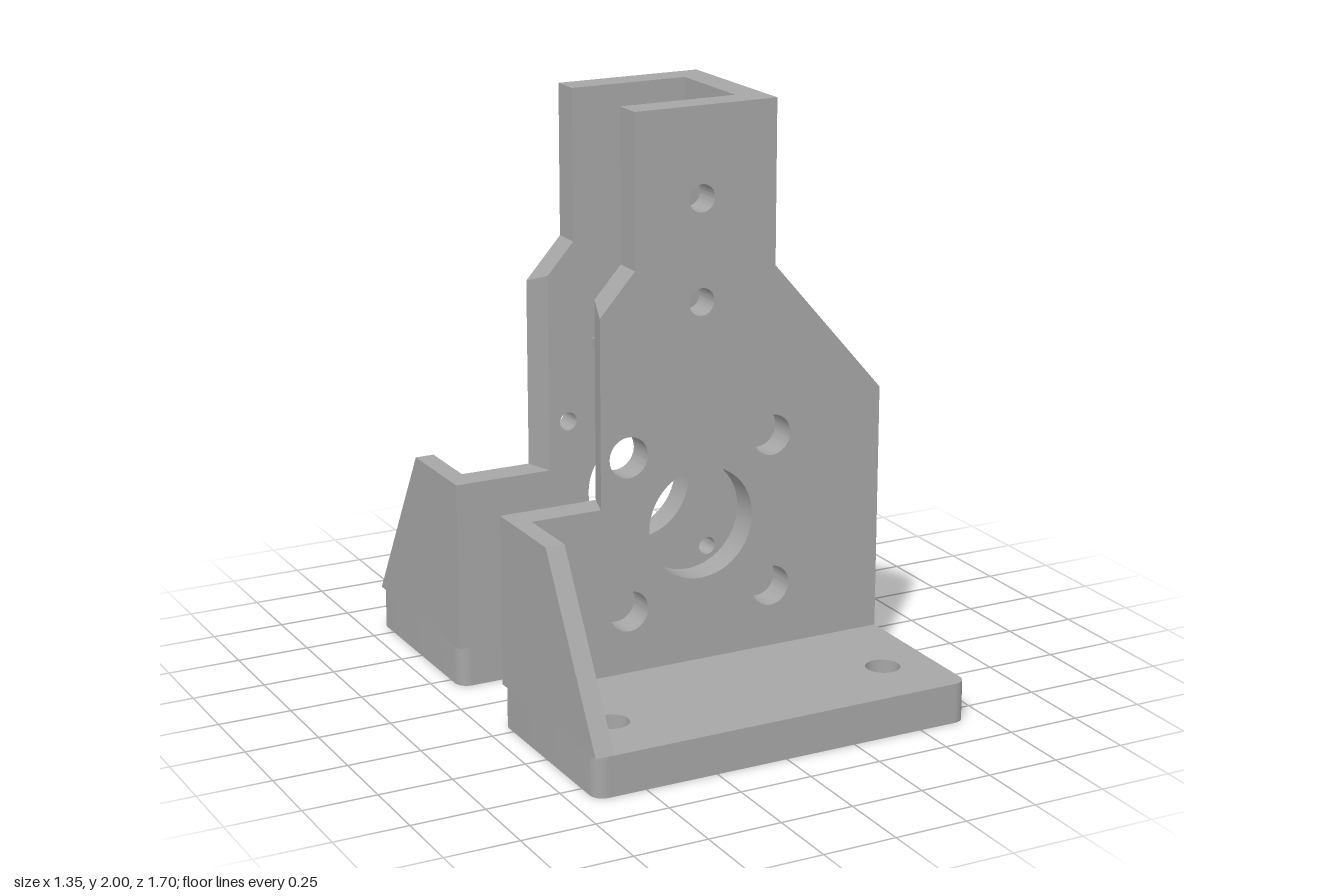
import * as THREE from 'three';
import { toCreasedNormals } from 'three/addons/utils/BufferGeometryUtils.js';

const IN = 0.172, OUT = 0.272; // inner and outer faces of the two upright plates
const BASE = 0.137, HALF = 0.675, END = 0.85;

const polygon = pts => new THREE.Shape(pts.map(([x, y]) => new THREE.Vector2(x, y)));

function addHole(shape, x, y, r) {
  const hole = new THREE.Path();
  hole.absarc(x, y, r, 0, Math.PI * 2, true);
  shape.holes.push(hole);
}

const extrude = (shape, depth) =>
  new THREE.ExtrudeGeometry(shape, { depth, bevelEnabled: false, curveSegments: 24 });

// Upright plate with shaft opening, four screw holes and two neck holes
function plateGeometry(side, screwRadius) {
  const shape = polygon([
    [-HALF, BASE], [HALF, BASE], [HALF, 0.985], [0.27, 1.45], [0.27, 2],
    [-0.24, 2], [-0.24, 1.49], [-0.365, 1.35], [-0.365, 0.715], [-HALF, 0.715],
  ]);
  addHole(shape, 0, 0.613, 0.191);
  for (const y of [1.36, 1.7]) addHole(shape, 0, y, 0.046);
  for (const x of [-0.264, 0.264])
    for (const y of [0.35, 0.876]) addHole(shape, x, y, screwRadius);
  const geo = extrude(shape, OUT - IN);
  geo.translate(0, 0, side > 0 ? IN : -OUT);
  // The inner edge above the low shoulder is relieved
  const p = geo.attributes.position;
  for (let i = 0; i < p.count; i++) {
    if (Math.abs(p.getX(i) + 0.365) < 1e-3 && Math.abs(p.getZ(i)) < 0.2) {
      p.setX(i, -0.334);
      if (p.getY(i) > 1.3) p.setY(i, p.getY(i) + 0.035);
    }
  }
  return geo;
}

// Foot slab with rounded vertical corners and two bolt holes
function footGeometry(side) {
  const r = 0.045, a = IN, b = END, q = Math.PI / 2;
  const shape = new THREE.Shape();
  shape.absarc(HALF - r, a + r, r, -q, 0);
  shape.absarc(HALF - r, b - r, r, 0, q);
  shape.absarc(-HALF + r, b - r, r, q, 2 * q);
  shape.absarc(-HALF + r, a + r, r, 2 * q, 3 * q);
  for (const x of [-0.5, 0.5]) addHole(shape, x, 0.61, 0.058);
  const geo = extrude(shape, BASE).rotateX(Math.PI / 2).translate(0, BASE, 0);
  if (side < 0) geo.rotateY(Math.PI); // symmetric about x
  return geo;
}

// Triangular side web between plate and foot
function gussetGeometry(side, xMax, topZ, topY) {
  const shape = polygon([[OUT, BASE], [END, BASE], [topZ, topY], [OUT, topY]]
    .map(([z, y]) => [z * side, y]));
  return extrude(shape, 0.065).rotateY(-Math.PI / 2).translate(xMax, 0, 0);
}

export function createModel() {
  const grey = new THREE.MeshStandardMaterial({ color: 0xa6a6a6 });
  grey.name = 'grey';
  const model = new THREE.Group();
  model.name = 'mountingBracket';

  const add = (name, geo) => {
    const mesh = new THREE.Mesh(toCreasedNormals(geo, 0.5), grey);
    mesh.name = name;
    model.add(mesh);
  };
  const box = (name, x0, x1, y0, y1, z0, z1) => add(name,
    new THREE.BoxGeometry(x1 - x0, y1 - y0, z1 - z0)
      .translate((x0 + x1) / 2, (y0 + y1) / 2, (z0 + z1) / 2));

  for (const side of [1, -1]) {
    const end = side > 0 ? 'front' : 'back';
    add(end + 'Plate', plateGeometry(side, side > 0 ? 0.069 : 0.031));
    add(end + 'Foot', footGeometry(side));
    add(end + 'RightGusset', gussetGeometry(side, -0.61, 0.51, 0.715));
  }
  add('backLeftGusset', gussetGeometry(-1, HALF, 0.34, 0.985));

  // Spine joining both plates, with two small ledges in the channel
  box('spine', 0.172, 0.27, 1.12, 2, -IN, IN);
  box('frontLedge', -0.175, 0.172, 1.12, 1.155, 0.067, IN);
  box('backLedge', -0.175, 0.172, 1.12, 1.155, -IN, -0.072);
  return model;
}
